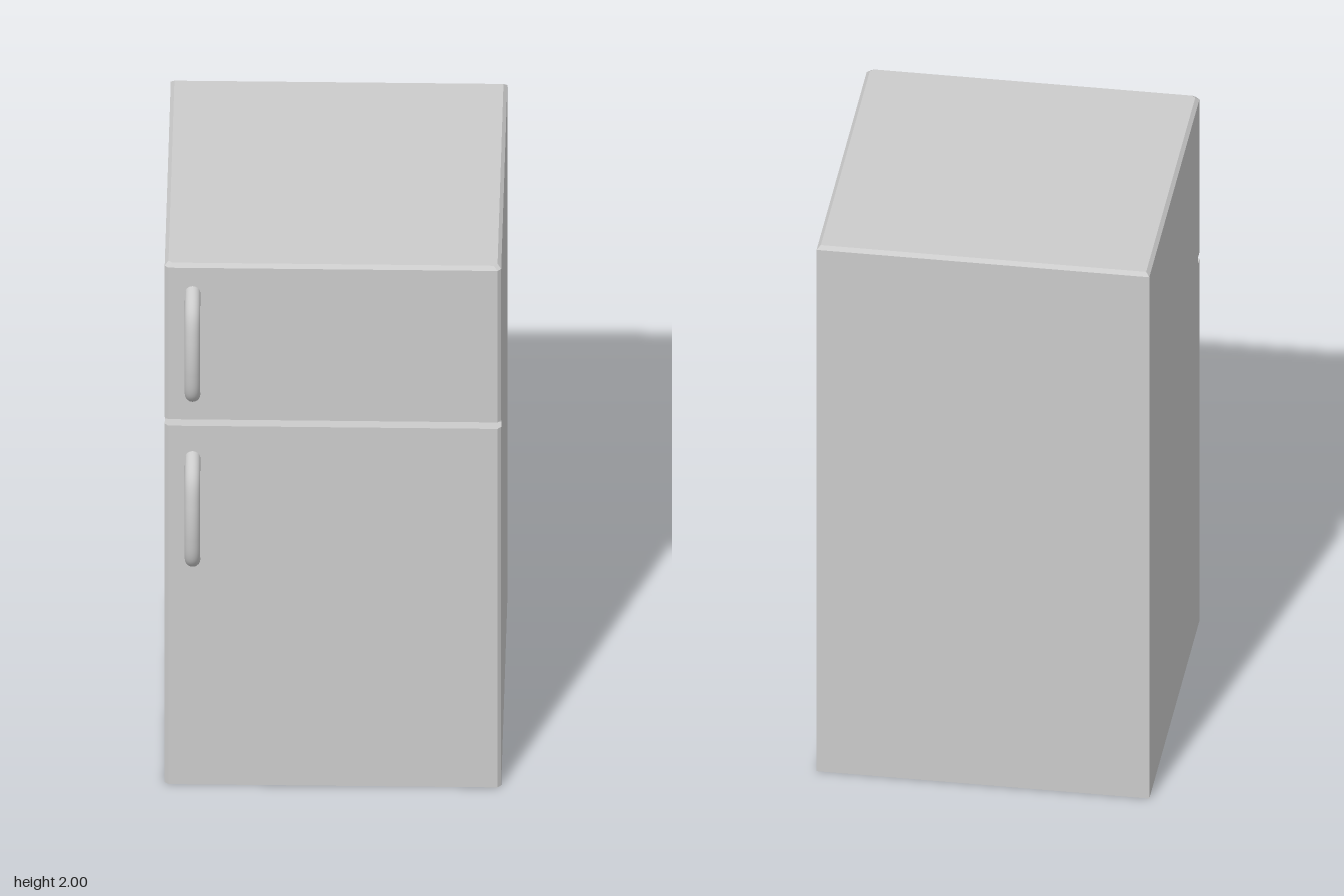
import * as THREE from 'three';

const W = 0.54, BACK = -0.59, FRONT = 0.49, GROOVE = 0.45, C = 0.012;

// Plan outline at one height; "corner" is where the side meets the front chamfer.
function ring(y, { inset = 0, front = FRONT, corner = front - C } = {}) {
  const w = W - inset, b = BACK + inset, f = front - inset, k = corner - inset;
  return [[w, k], [w, b], [-w, b], [-w, k], [-w + C, f], [w - C, f]]
    .map(([x, z]) => new THREE.Vector3(x, y, z));
}

// Flat-faced skin through the rings, capped at both ends.
function loft(rings) {
  const positions = [];
  const tri = (a, b, c) => {
    if (new THREE.Triangle(a, b, c).getArea() < 1e-8) return;
    for (const p of [a, b, c]) positions.push(p.x, p.y, p.z);
  };
  for (let r = 0; r < rings.length - 1; r++) {
    const low = rings[r], high = rings[r + 1];
    for (let i = 0; i < low.length; i++) {
      const j = (i + 1) % low.length;
      tri(low[i], low[j], high[j]);
      tri(low[i], high[j], high[i]);
    }
  }
  const bottom = rings[0], top = rings[rings.length - 1];
  for (let i = 1; i < top.length - 1; i++) {
    tri(bottom[0], bottom[i + 1], bottom[i]);
    tri(top[0], top[i], top[i + 1]);
  }
  const geometry = new THREE.BufferGeometry();
  geometry.setAttribute('position', new THREE.Float32BufferAttribute(positions, 3));
  geometry.computeVertexNormals();
  return geometry;
}

export function createModel() {
  const group = new THREE.Group();
  const material = new THREE.MeshStandardMaterial({ color: 0xcccccc });
  const add = (name, geometry) => {
    const mesh = new THREE.Mesh(geometry, material);
    mesh.name = name;
    group.add(mesh);
    return mesh;
  };

  // Cabinet with a groove across the front between the two doors
  const recess = { front: GROOVE, corner: GROOVE };
  add('cabinet', loft([
    ring(0), ring(1.38),
    ring(1.38, recess), ring(1.405, recess),
    ring(1.405), ring(2 - C), ring(2, { inset: C }),
  ]));

  // Bowed tube handles, ends sunk into the doors
  const half = [[0.2, 0.475], [0.188, 0.5], [0.147, 0.545], [0.06, 0.565]];
  const path = [...half, ...half.slice().reverse().map(([y, z]) => [-y, z])];
  const curve = new THREE.CatmullRomCurve3(path.map(([y, z]) => new THREE.Vector3(0, y, z)));
  const handle = new THREE.TubeGeometry(curve, 40, 0.025, 20);
  add('freezerHandle', handle).position.set(-0.45, 1.697, 0);
  add('fridgeHandle', handle).position.set(-0.45, 1.062, 0);

  return group;
}
